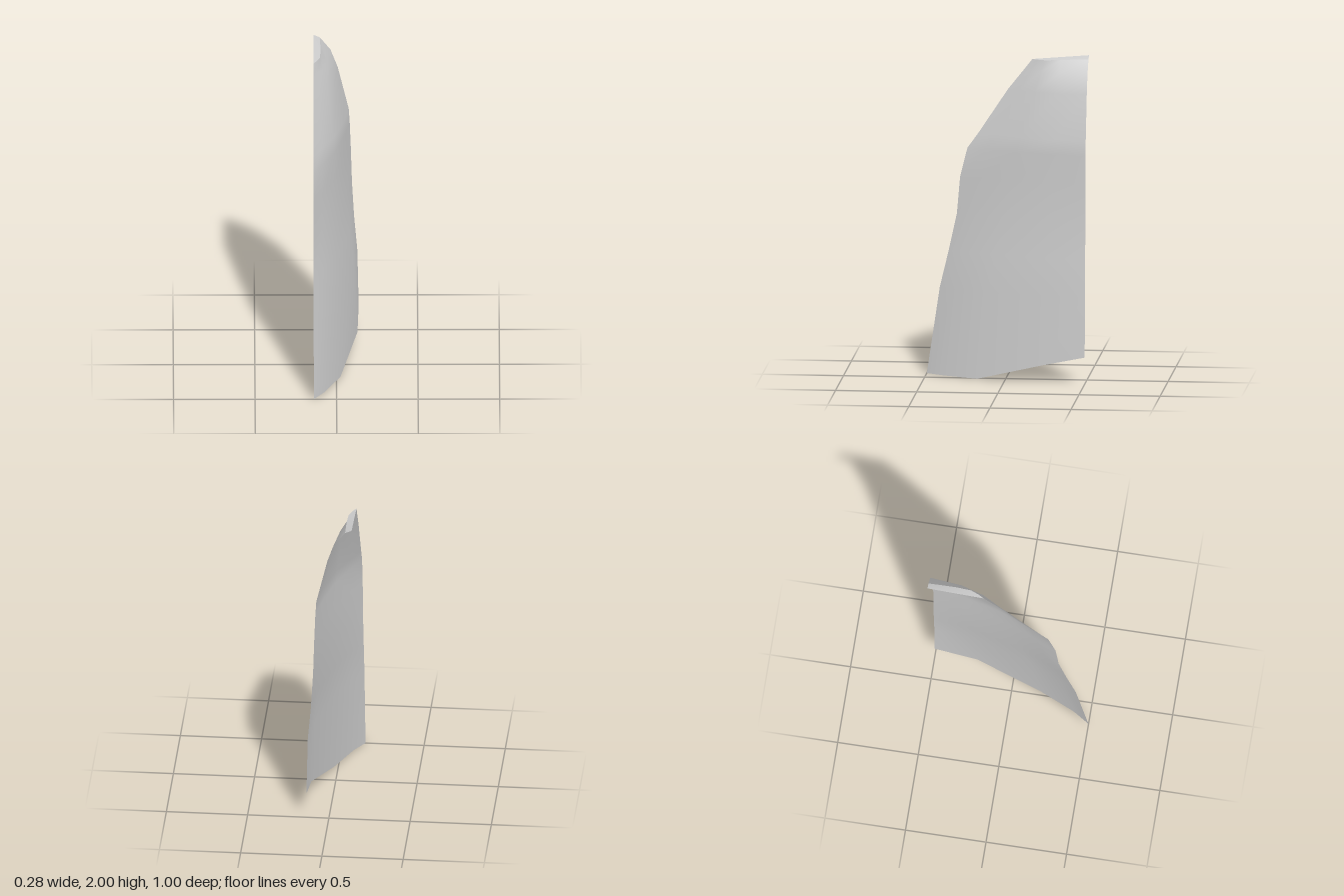
import * as THREE from 'three';

const INNER = -0.14; // plane of the straight cut edge
const BACK = -0.5;   // plane of the rear cut edge

// Skin a grid of points (rows upward, columns front to back)
function loft(name, rows, material) {
  const cols = rows[0].length;
  const index = [];
  for (let i = 0; i < rows.length - 1; i++) {
    for (let j = 0; j < cols - 1; j++) {
      const a = i * cols + j, b = a + 1, c = a + cols, d = c + 1;
      index.push(a, b, d, a, d, c);
    }
  }
  const geo = new THREE.BufferGeometry();
  geo.setAttribute('position', new THREE.Float32BufferAttribute(rows.flat(2), 3));
  geo.setIndex(index);
  geo.computeVertexNormals();
  const mesh = new THREE.Mesh(geo, material);
  mesh.name = name;
  return mesh;
}

// Horizontal section: heights, front z, three [x, z] points, rear x
function section(y, zFront, mids, xBack) {
  const path = [[INNER, zFront], ...mids, [xBack, BACK]];
  return path.map(([x, z], j) => [x, Array.isArray(y) ? y[j] : y, z]);
}

export function createModel() {
  const group = new THREE.Group();
  group.name = 'curvedPanel';
  const material = new THREE.MeshStandardMaterial({ color: 0xcccccc, side: THREE.DoubleSide });

  // Curved wall, bottom edge to top ridge
  const rows = [
    section([0, 0, 0, 0.11, 0.165], 0.5, [[-0.075, 0.4], [0.025, 0.175], [0.13, -0.235]], 0.138),
    section(0.54, 0.42, [[-0.08, 0.32], [0.01, 0.11], [0.11, -0.26]], 0.13),
    section(0.77, 0.365, [[-0.085, 0.265], [0, 0.06], [0.085, -0.27]], 0.11),
    section(1.0, 0.315, [[-0.088, 0.21], [-0.005, 0.0], [0.062, -0.28]], 0.097),
    section(1.23, 0.295, [[-0.09, 0.17], [-0.01, -0.04], [0.052, -0.29]], 0.09),
    section(1.41, 0.25, [[-0.09, 0.13], [-0.01, -0.06], [0.05, -0.3]], 0.083),
    section(1.5, 0.185, [[-0.095, 0.085], [-0.015, -0.08], [0.045, -0.3]], 0.077),
    section(1.78, 0.0, [[-0.105, -0.07], [-0.05, -0.17], [-0.008, -0.31]], 0.01),
    section(1.9, -0.095, [[-0.12, -0.14], [-0.085, -0.205], [-0.055, -0.32]], -0.035),
    section([1.97, 1.97, 1.97, 1.975, 1.982], -0.15,
      [[-0.12, -0.185], [-0.1, -0.235], [-0.096, -0.33]], -0.1),
  ];
  group.add(loft('wall', rows, material));

  // Narrow sloping cap from the ridge to the cut edge
  const ridge = rows[rows.length - 1];
  const edge = ridge.map(([, , z]) => [INNER, 1.97 + 0.03 * (-0.15 - z) / 0.35, z]);
  group.add(loft('topCap', [ridge, edge], material));

  return group;
}
